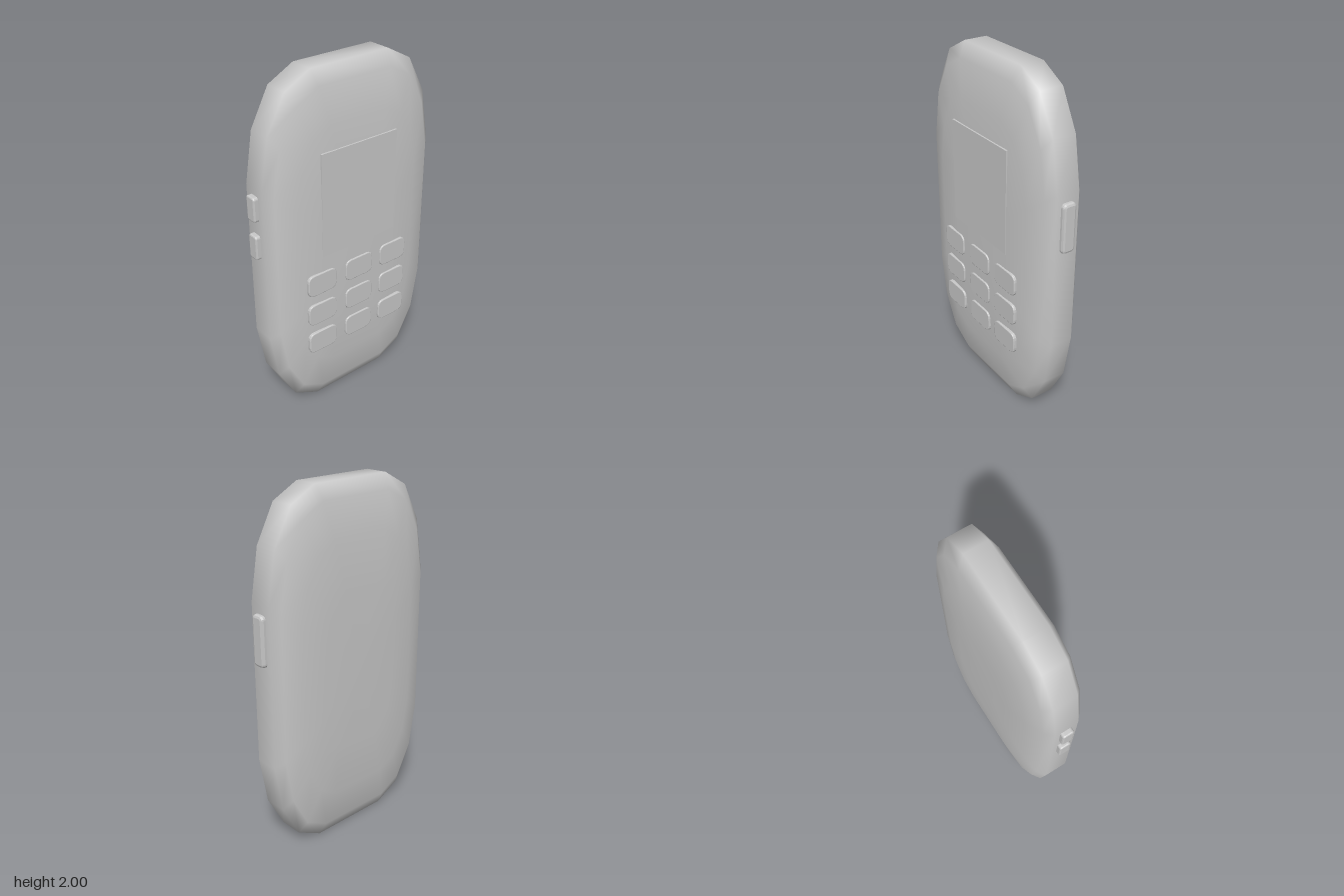
import * as THREE from 'three';

const casing = new THREE.MeshStandardMaterial({ color: 0xc8c8c8 });
casing.name = 'grey casing';

// quarter profile shared by the outline and the thickness
const QUARTER = [[1, 0.445], [0.915, 0.72], [0.72, 0.92], [0.445, 1]];
const HALF_X = 0.149, HALF_Y = 1, HALF_Z = 0.549, OFFSET_X = -0.005;

// closed 16-point outline, running from +z towards +y
function outline() {
  const half = [...QUARTER, ...QUARTER.map(([z, y]) => [-z, y]).reverse()];
  return [...half, ...half.map(([z, y]) => [-z, -y])];
}

// pillow-shaped body: the outline scaled through layers of constant x
function bodyGeometry() {
  const loop = outline(), n = loop.length;
  const layers = [
    ...QUARTER.map(([x, s]) => [-x, s]),
    ...QUARTER.map(([x, s]) => [x, s]).reverse(),
  ];
  const pos = [], index = [];
  for (const [x, s] of layers) {
    for (const [z, y] of loop) pos.push(x * HALF_X + OFFSET_X, 1 + y * s * HALF_Y, z * s * HALF_Z);
  }
  for (let i = 0; i < layers.length - 1; i++) {
    for (let j = 0; j < n; j++) {
      const k = (j + 1) % n;
      const a = i * n + j, b = a + n, c = (i + 1) * n + k, d = i * n + k;
      index.push(a, b, c, a, c, d);
    }
  }
  // flat faces on both sides
  const back = layers.length * n, front = back + 1, last = (layers.length - 1) * n;
  pos.push(-HALF_X + OFFSET_X, 1, 0, HALF_X + OFFSET_X, 1, 0);
  for (let j = 0; j < n; j++) {
    const k = (j + 1) % n;
    index.push(back, j, k, front, last + k, last + j);
  }
  const g = new THREE.BufferGeometry();
  g.setAttribute('position', new THREE.Float32BufferAttribute(pos, 3));
  g.setIndex(index);
  g.computeVertexNormals();
  return g;
}

// rounded plate with a small bevel, its base at z = 0 and its top at z = depth
function plate(w, h, r, depth, bevel) {
  const x = w / 2 - bevel, y = h / 2 - bevel;
  const s = new THREE.Shape();
  s.moveTo(-x + r, -y);
  s.lineTo(x - r, -y);
  s.quadraticCurveTo(x, -y, x, -y + r);
  s.lineTo(x, y - r);
  s.quadraticCurveTo(x, y, x - r, y);
  s.lineTo(-x + r, y);
  s.quadraticCurveTo(-x, y, -x, y - r);
  s.lineTo(-x, -y + r);
  s.quadraticCurveTo(-x, -y, -x + r, -y);
  const g = new THREE.ExtrudeGeometry(s, {
    depth: depth - 2 * bevel, bevelThickness: bevel, bevelSize: bevel, bevelSegments: 2, curveSegments: 4,
  });
  return g.translate(0, 0, bevel);
}

export function createModel() {
  const model = new THREE.Group();
  model.name = 'handset';
  const add = (name, geometry, x, y, z, turn = 0) => {
    const m = new THREE.Mesh(geometry, casing);
    m.name = name;
    m.position.set(x, y, z);
    m.rotation.y = turn;
    model.add(m);
  };

  add('body', bodyGeometry(), 0, 0, 0);

  // screen on the +x face
  add('screen', new THREE.BoxGeometry(0.03, 0.59, 0.495), 0.131, 1.295, 0);

  // keypad, three by three
  const key = plate(0.188, 0.13, 0.035, 0.05, 0.005);
  for (const y of [0.845, 0.655, 0.465]) {
    for (const z of [0.255, 0.002, -0.242]) add('key', key, 0.103, y, z, Math.PI / 2);
  }

  // two buttons on one edge, one longer button on the other
  const small = plate(0.066, 0.138, 0.008, 0.06, 0.008);
  for (const y of [1.34, 1.12]) add('sideButton', small, -0.006, y, 0.517);
  add('longButton', plate(0.08, 0.275, 0.01, 0.06, 0.014), -0.005, 1.26, -0.515, Math.PI);

  return model;
}
